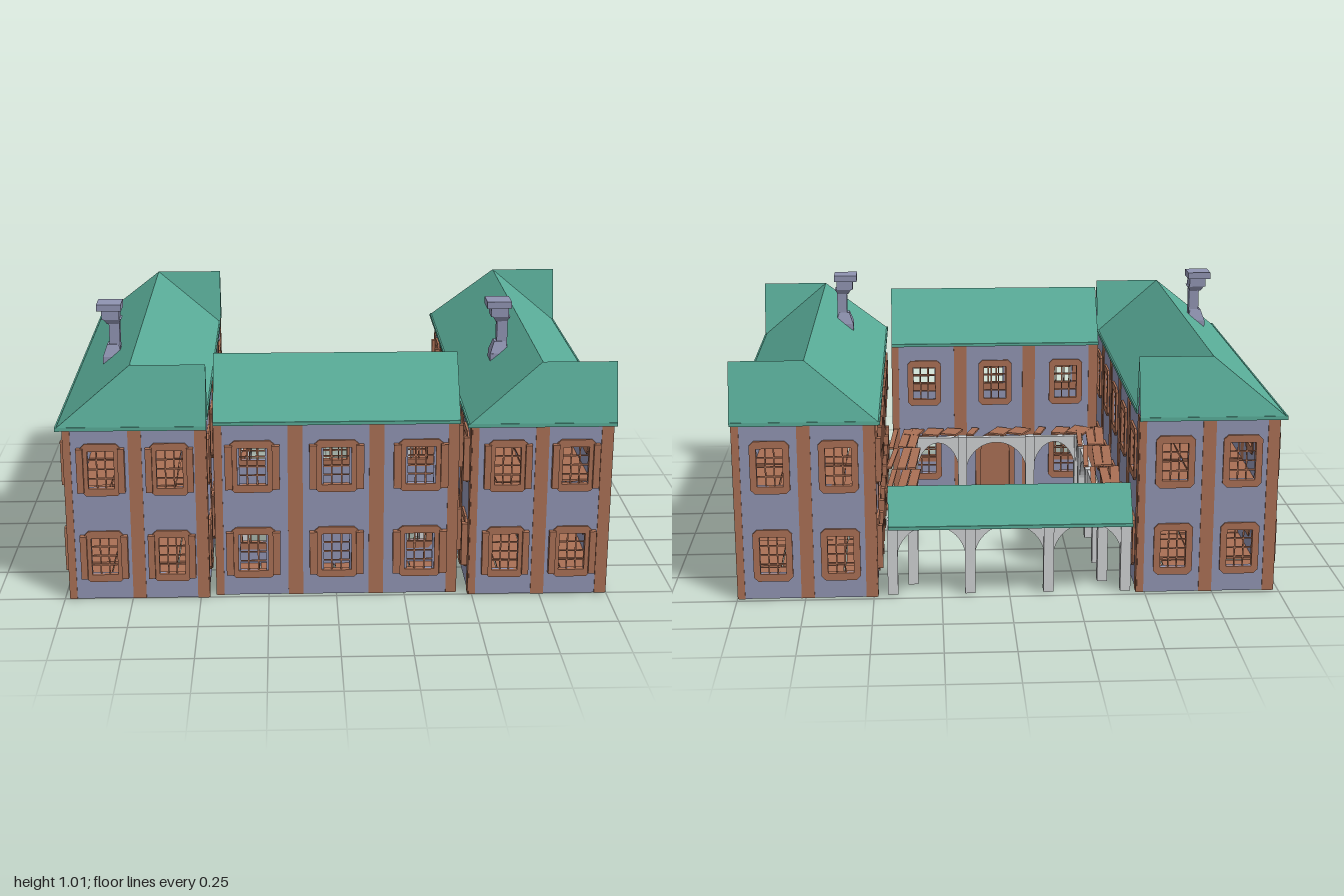
import * as THREE from 'three';
import { mergeGeometries } from 'three/addons/utils/BufferGeometryUtils.js';

const mat = (name, color, side = THREE.FrontSide) => {
  const m = new THREE.MeshStandardMaterial({ color, side });
  m.name = name;
  return m;
};
const plaster = mat('lavender plaster', 0x9094b2, THREE.DoubleSide);
const timber = mat('brown timber', 0xaa7055);
const tile = mat('green roof tile', 0x59ac98, THREE.DoubleSide);
const stone = mat('pale stone', 0xcfd1d3);
const straw = mat('tan steps', 0xc9b48c);

let seed = 7;
const rnd = () => ((seed = (seed * 16807) % 2147483647) / 2147483647) - 0.5;

function add(parent, name, geo, material, x = 0, y = 0, z = 0) {
  const m = new THREE.Mesh(geo, material);
  m.name = name;
  m.position.set(x, y, z);
  parent.add(m);
  return m;
}
const box = (p, name, material, w, h, d, x, y, z) =>
  add(p, name, new THREE.BoxGeometry(w, h, d), material, x, y, z);

// flat convex polygon
function face(p, name, material, pts) {
  const v = [];
  for (let i = 1; i < pts.length - 1; i++) v.push(...pts[0], ...pts[i], ...pts[i + 1]);
  const g = new THREE.BufferGeometry();
  g.setAttribute('position', new THREE.Float32BufferAttribute(v, 3));
  g.computeVertexNormals();
  return add(p, name, g, material);
}
const poly = (pts) => new THREE.Shape(pts.map(([x, y]) => new THREE.Vector2(x, y)));
const rect = (x, y, w, h) => [[x - w / 2, y - h / 2], [x + w / 2, y - h / 2], [x + w / 2, y + h / 2], [x - w / 2, y + h / 2]];
const extrude = (shape, depth) => new THREE.ExtrudeGeometry(shape, { depth, bevelEnabled: false, curveSegments: 10 });

// Window: chamfered frame, glazing bars and optional raised shutters
const HOLE_W = 0.094, HOLE_H = 0.142, T = 0.012;
function windowGeometry(shutters, scale = 1) {
  const w = 0.0715, h = 0.099, c = 0.016;
  const s = poly([[-w + c, -h], [w - c, -h], [w, -h + c], [w, h - c], [w - c, h], [-w + c, h], [-w, h - c], [-w, -h + c]]);
  s.holes.push(poly(rect(0, 0, HOLE_W, HOLE_H)));
  const frame = extrude(s, T + 0.012);
  frame.translate(0, 0, -T - 0.004);
  const parts = [frame];
  const bar = (bw, bh, bd, x, y, z) => {
    const g = new THREE.BoxGeometry(bw, bh, bd).toNonIndexed();
    g.translate(x, y, z);
    parts.push(g);
  };
  for (const i of [-1, 1]) bar(0.005, HOLE_H, 0.005, i * HOLE_W / 6, 0, -0.004);
  for (const i of [-1, 0, 1]) bar(HOLE_W, 0.005, 0.005, 0, i * HOLE_H / 4, -0.004);
  if (shutters) for (const i of [-1, 1]) bar(0.024, 0.166, 0.022, i * 0.074, 0, 0.011);
  const g = mergeGeometries(parts);
  g.scale(scale, 1, 1);
  return g;
}
const plainWindow = windowGeometry(false);
const shutterWindow = windowGeometry(true);
const wideWindow = windowGeometry(true, 1.15);
const LOW = 0.168, HIGH = 0.503, WALL = 0.672;

// Wall facing local +z with two rows of windows and timber posts [x, width]
function wall(p, name, len, xs, winGeo, posts, pos, rotY, door = false) {
  const g = new THREE.Group();
  g.name = name;
  g.position.set(...pos);
  g.rotation.y = rotY;
  p.add(g);
  const s = poly(rect(0, WALL / 2, len, WALL));
  for (const x of xs) for (const y of [LOW, HIGH]) {
    if (door && x === 0 && y === LOW) continue;
    s.holes.push(poly(rect(x, y, HOLE_W, HOLE_H)));
    add(g, 'window', winGeo, timber, x, y, 0);
  }
  const panel = extrude(s, T);
  panel.translate(0, 0, -T);
  add(g, 'wallPanel', panel, plaster);
  for (const [x, w] of posts) box(g, 'post', timber, w, WALL, 0.016, x, WALL / 2, -0.004);
  if (door) {
    const arch = (w, h) => {
      const d = new THREE.Shape();
      d.moveTo(-w, 0); d.lineTo(w, 0); d.lineTo(w, h - w);
      d.absarc(0, h - w, w, 0, Math.PI);
      return d;
    };
    const surround = arch(0.085, 0.28);
    surround.holes.push(arch(0.062, 0.255));
    add(g, 'doorFrame', extrude(surround, 0.012), timber);
    add(g, 'door', extrude(arch(0.064, 0.257), 0.005), timber);
  }
}

// Slightly crooked floorboards filling a rectangle
function boards(p, name, x0, x1, z0, z1, y, nx, nz) {
  const w = (x1 - x0) / nx, d = (z1 - z0) / nz;
  for (let i = 0; i < nx; i++) for (let j = 0; j < nz; j++) {
    const b = box(p, name, timber, w * 0.97, 0.008, d * 0.97, x0 + (i + 0.5) * w, y + rnd() * 0.004, z0 + (j + 0.5) * d);
    b.rotation.set(rnd() * 0.04, rnd() * 0.05, rnd() * 0.04);
  }
}

// Gable roof running along x
function gableRoof(p, half, z0, z1, y0, y1) {
  const zm = (z0 + z1) / 2;
  for (const z of [z0, z1]) {
    face(p, 'roofSlope', tile, z === z1
      ? [[-half, y0, z], [half, y0, z], [half, y1, zm], [-half, y1, zm]]
      : [[half, y0, z], [-half, y0, z], [-half, y1, zm], [half, y1, zm]]);
    box(p, 'eave', tile, half * 2, 0.012, 0.006, 0, y0, z + (z === z1 ? -0.003 : 0.003));
  }
  for (const s of [-1, 1]) {
    const x = s * (half - 0.006), k = s * 0.02;
    face(p, 'gable', plaster, [[x, y0, s > 0 ? z1 - k : z0 - k], [x, y0, s > 0 ? z0 + k : z1 + k], [x, y1 - 0.015, zm]]);
  }
}

// Row of round arches on square columns along local x
function arcade(p, name, stops, pos, rotY) {
  const g = new THREE.Group();
  g.name = name;
  g.position.set(...pos);
  g.rotation.y = rotY;
  p.add(g);
  stops.forEach((x, i) => {
    box(g, 'column', stone, 0.038, 0.29, 0.038, x, 0.145, 0);
    if (!i) return;
    const a = stops[i - 1] + 0.015, b = x - 0.015, s = new THREE.Shape();
    s.moveTo(a, 0.13);
    s.absellipse((a + b) / 2, 0.13, (b - a) / 2, 0.135, Math.PI, 0, true);
    s.lineTo(b, 0.288);
    s.lineTo(a, 0.288);
    const geo = extrude(s, 0.024);
    geo.translate(0, 0, -0.012);
    add(g, 'arch', geo, stone);
  });
}

function wing(parent, cx, name) {
  const g = new THREE.Group();
  g.name = name;
  g.position.x = cx;
  parent.add(g);
  const zc = 0.01, len = 1.49, xw = 0.0085, wid = 0.507, H = Math.PI / 2;
  const bays = [-2, -1, 0, 1, 2].map((k) => k * 0.295);
  const posts = [[-len / 2 + 0.016, 0.032], [len / 2 - 0.022, 0.044]];
  for (const k of [-1.5, -0.5, 0.5, 1.5]) posts.push([k * 0.295 - 0.005, 0.061]);
  const ends = [[-wid / 2 + 0.012, 0.024], [0, 0.048], [wid / 2 - 0.02, 0.04]];
  wall(g, 'rightWall', len, bays, plainWindow, posts, [xw + wid / 2, 0, zc], H);
  wall(g, 'leftWall', len, bays, shutterWindow, posts, [xw - wid / 2, 0, zc], -H);
  wall(g, 'frontWall', wid, [-0.123, 0.123], shutterWindow, ends, [xw, 0, 0.755], 0);
  wall(g, 'backWall', wid, [-0.123, 0.123], plainWindow, ends, [xw, 0, -0.735], Math.PI);
  for (const y of [0.006, 0.325]) boards(g, 'floorboard', -0.235, 0.252, -0.725, 0.745, y, 4, 5);
  // small stair
  for (let i = 0; i < 4; i++) box(g, 'step', straw, 0.05, 0.03, 0.09, -0.08 + i * 0.05, 0.03 + i * 0.03, 0.02);

  // roof: long ridge turning toward a little gable at each end
  const a = 0.2675, y0 = 0.672, y1 = 0.89;
  const A = [-a, y0, 0.805], F = [a, y0, 0.805], V = [a, y0, 0.69], P = [0, y1, 0.745], G = [a, y1, 0.745];
  const B = [-a, y0, -0.77], E = [a, y0, -0.77], W = [a, y0, -0.66], Q = [0, y1, -0.71], K = [a, y1, -0.71];
  for (const q of [[A, F, G, P], [P, G, V], [P, V, W, Q], [Q, W, K], [E, B, Q, K], [B, A, P, Q]])
    face(g, 'roofSlope', tile, q);
  const in1 = a - 0.006;
  face(g, 'frontGable', plaster, [[in1, y0, 0.794], [in1, y0, 0.70], [in1, y1 - 0.03, 0.745]]);
  face(g, 'backGable', plaster, [[in1, y0, -0.67], [in1, y0, -0.76], [in1, y1 - 0.03, -0.71]]);
  box(g, 'leftEave', tile, 0.006, 0.014, 1.575, -a + 0.003, y0, 0.0175);
  box(g, 'rightEave', tile, 0.006, 0.014, 1.35, a - 0.003, y0, 0.015);
  box(g, 'frontEave', tile, 2 * a, 0.014, 0.006, 0, y0, 0.802);
  box(g, 'backEave', tile, 2 * a, 0.014, 0.006, 0, y0, -0.767);

  // chimney
  const ch = new THREE.Group();
  ch.name = 'chimney';
  ch.position.set(-0.1, 0, 0.31);
  g.add(ch);
  const taper = (name, top, bot, h, x, y) => {
    const t = new THREE.CylinderGeometry(top * Math.SQRT1_2, bot * Math.SQRT1_2, h, 4).toNonIndexed();
    t.rotateY(Math.PI / 4);
    t.computeVertexNormals();
    add(ch, name, t, plaster, x, y, 0);
  };
  box(ch, 'chimneyBase', plaster, 0.074, 0.05, 0.074, 0, 0.782, 0);
  taper('chimneyShoulder', 0.042, 0.074, 0.045, 0, 0.829);
  box(ch, 'chimneyStem', plaster, 0.04, 0.12, 0.04, 0.008, 0.88, 0);
  taper('chimneyFlare', 0.066, 0.042, 0.02, 0.003, 0.94);
  box(ch, 'chimneyNeck', plaster, 0.066, 0.037, 0.066, -0.004, 0.968, 0);
  box(ch, 'chimneyCap', plaster, 0.092, 0.026, 0.092, -0.008, 0.998, 0);
}

export function createModel() {
  const model = new THREE.Group();
  model.name = 'courtyardHouse';
  wing(model, -0.7325, 'rightWing');
  wing(model, 0.7325, 'leftWing');

  // front block between the wings
  const block = new THREE.Group();
  block.name = 'frontBlock';
  model.add(block);
  const posts = [[-0.427, 0.026], [-0.15, 0.054], [0.145, 0.054], [0.422, 0.036]], xs = [-0.305, 0, 0.305];
  wall(block, 'frontWall', 0.88, xs, wideWindow, posts, [0, 0, 0.735], 0);
  wall(block, 'courtyardWall', 0.88, xs, plainWindow, posts, [0, 0, 0.46], Math.PI, true);
  for (const s of [-1, 1])
    wall(block, 'endWall', 0.275, [], plainWindow, [[-0.125, 0.025], [0.125, 0.025]], [s * 0.44, 0, 0.5975], s * Math.PI / 2);
  gableRoof(block, 0.443, 0.43, 0.77, 0.675, 0.89);
  for (const y of [0.006, 0.325]) boards(block, 'floorboard', -0.43, 0.43, 0.47, 0.725, y, 6, 1);

  // roofed arcade across the back
  const back = new THREE.Group();
  back.name = 'backArcade';
  model.add(back);
  arcade(back, 'arches', [-0.43, -0.145, 0.145, 0.43], [0, 0, -0.70], 0);
  gableRoof(back, 0.443, -0.81, -0.62, 0.288, 0.42);

  // courtyard walkway: arches, crooked planks
  const walk = new THREE.Group();
  walk.name = 'walkway';
  model.add(walk);
  const zStops = [-0.36, -0.18, 0.12, 0.41, 0.60];
  for (const s of [-1, 1]) arcade(walk, 'sideArches', zStops, [s * 0.355, 0, 0], Math.PI / 2);
  arcade(walk, 'frontArches', [-0.355, -0.145, 0.145, 0.355], [0, 0, 0.36], 0);
  for (const dx of [0, 0.79]) for (let i = 0; i < 4; i++) {
    const z = [-0.525, -0.28, 0.015, 0.30][i], l = i ? 0.27 : 0.18;
    for (const [x, w, yaw] of [[-0.438, 0.036, 0.08], [-0.4, 0.034, 0.06], [-0.352, 0.02, -0.07]]) {
      const b = box(walk, 'plank', timber, w, 0.008, l, x + dx, 0.3, z);
      b.rotation.set(rnd() * 0.04, -yaw + (w < 0.03 ? -0.14 : 0) + rnd() * 0.05, rnd() * 0.15);
    }
  }
  for (const [x, w] of [[-0.36, 0.08], [-0.28, 0.06], [-0.19, 0.03], [-0.1, 0.07], [-0.02, 0.07], [0.1, 0.03], [0.19, 0.07], [0.27, 0.07], [0.35, 0.06]]) {
    const b = box(walk, 'plank', timber, w, 0.008, 0.1, x, 0.3, 0.395);
    b.rotation.set(rnd() * 0.06, -0.4 + rnd() * 0.3, 0);
  }
  return model;
}
